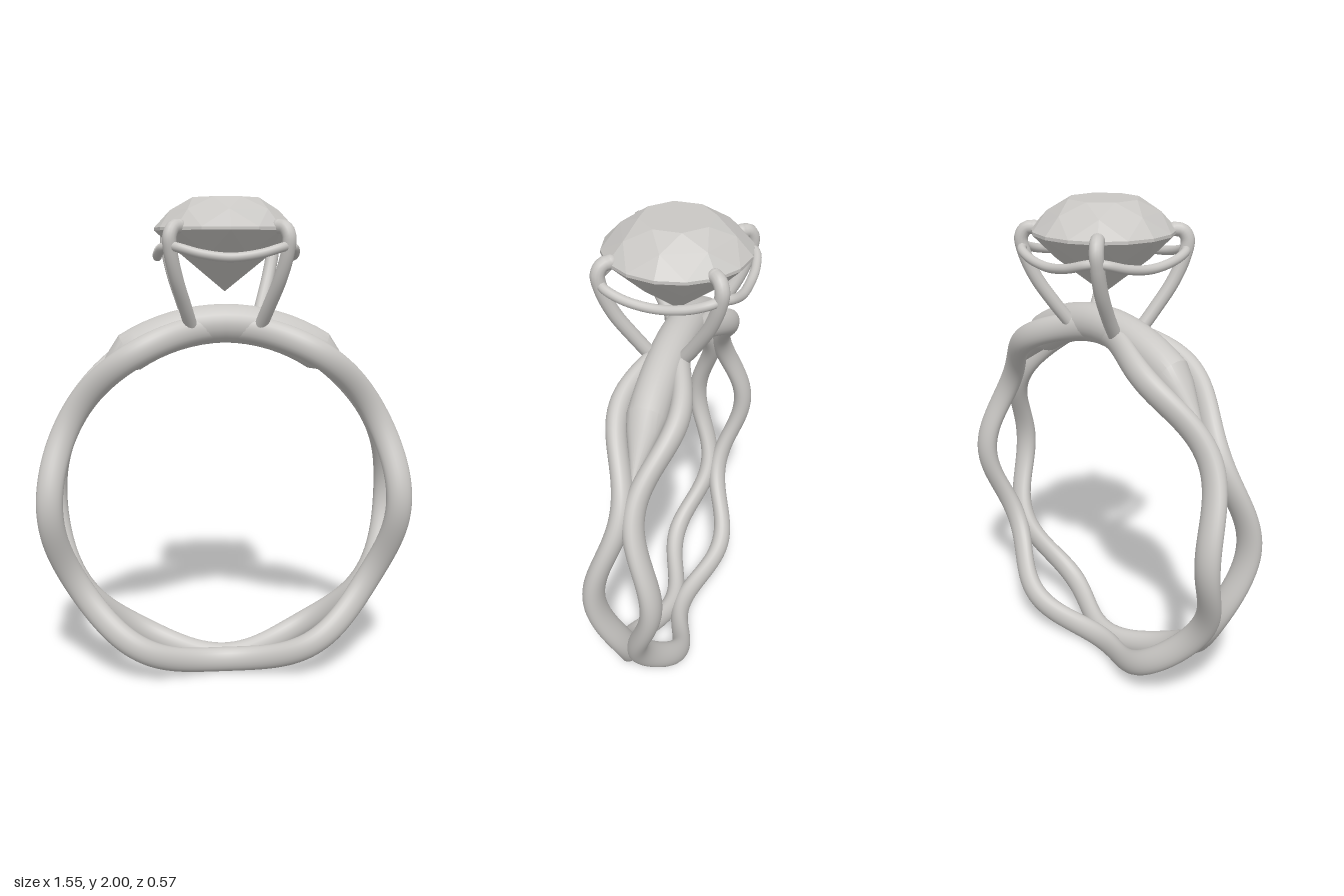
import * as THREE from 'three';
import { toCreasedNormals } from 'three/addons/utils/BufferGeometryUtils.js';
import { ConvexGeometry } from 'three/addons/geometries/ConvexGeometry.js';

const CENTRE_Y = 0.774;
const BAND_R = 0.72;
const TAU = Math.PI * 2;
const rad = THREE.MathUtils.degToRad;

// Sweeps an elliptical section around the finger hole.
// Each station: { t: angle, r: radius, z: offset, a: radial half size, b: z half size }
function sweep(stations, closed, sides = 24) {
  const pos = [], idx = [];
  for (const { t, r, z, a, b } of stations) {
    for (let j = 0; j < sides; j++) {
      const p = (j / sides) * TAU;
      const q = r + a * Math.cos(p);
      pos.push(q * Math.cos(t), CENTRE_Y + q * Math.sin(t), z + b * Math.sin(p));
    }
  }
  const n = stations.length;
  for (let i = 0; i < (closed ? n : n - 1); i++) {
    const i2 = (i + 1) % n;
    for (let j = 0; j < sides; j++) {
      const j2 = (j + 1) % sides;
      const A = i * sides + j, B = i2 * sides + j, C = i2 * sides + j2, D = i * sides + j2;
      idx.push(A, B, C, A, C, D);
    }
  }
  const g = new THREE.BufferGeometry();
  g.setAttribute('position', new THREE.Float32BufferAttribute(pos, 3));
  g.setIndex(idx);
  g.computeVertexNormals();
  return g;
}

// Round wire through a few points
function wire(points, radius) {
  const curve = new THREE.CatmullRomCurve3(points.map((p) => new THREE.Vector3(...p)));
  return new THREE.TubeGeometry(curve, 40, radius, 14);
}

// Points evenly spaced on a horizontal circle
function circle(n, r, y, shift = 0) {
  return Array.from({ length: n }, (_, i) => {
    const t = ((i + shift) / n) * TAU;
    return new THREE.Vector3(r * Math.cos(t), y, r * Math.sin(t));
  });
}

export function createModel() {
  const model = new THREE.Group();
  const metal = new THREE.MeshStandardMaterial({ color: 0xc9c7c4 });
  metal.name = 'pale metal';
  const add = (name, geometry, parent = model) => {
    const mesh = new THREE.Mesh(geometry, metal);
    mesh.name = name;
    parent.add(mesh);
    return mesh;
  };

  // Two wavy strands that meet every sixty degrees
  for (const side of [1, -1]) {
    const stations = [];
    for (let i = 0; i < 180; i++) {
      const t = (i / 180) * TAU;
      stations.push({ t, r: BAND_R, z: side * (0.068 + 0.045 * Math.cos(6 * t)), a: 0.054, b: 0.041 });
    }
    add(side > 0 ? 'frontStrand' : 'backStrand', sweep(stations, true));
  }

  // Raised bridge between the strands, tapering to a point at both ends
  const bridge = [];
  const section = (deg, outer, inner, b) => bridge.push({
    t: rad(90 - deg), r: (outer + inner) / 2, z: 0, a: (outer - inner) / 2, b,
  });
  section(52, 0.722, 0.718, 0.002);
  section(37, 0.782, 0.675, 0.062);
  for (let d = 32; d >= -32; d -= 4) {
    section(d, 0.811, 0.655 - 0.008 * Math.abs(d) / 32, 0.075);
  }
  section(-37, 0.782, 0.675, 0.062);
  section(-52, 0.722, 0.718, 0.002);
  add('bridge', toCreasedNormals(sweep(bridge, false), 0.4));

  // Four prongs that hook over the stone
  const head = new THREE.Group();
  head.name = 'head';
  model.add(head);
  for (const sx of [1, -1]) {
    for (const sz of [1, -1]) {
      const path = [
        [0.14, 1.5, 0.06], [0.165, 1.58, 0.115], [0.2, 1.69, 0.18],
        [0.222, 1.79, 0.217], [0.226, 1.85, 0.226], [0.212, 1.882, 0.212], [0.19, 1.887, 0.19],
      ].map(([x, y, z]) => [sx * x, y, sz * z]);
      add('prong', wire(path, 0.027), head);
      const tip = add('prongTip', new THREE.SphereGeometry(0.027, 16, 12), head);
      tip.position.set(...path[path.length - 1]);
    }
  }

  // Dipping rail wires between neighbouring prongs
  for (let k = 0; k < 4; k++) {
    const rail = add('rail', wire([
      [-0.222, 1.815, 0.222], [-0.19, 1.807, 0.25], [-0.11, 1.785, 0.267], [0, 1.772, 0.269],
      [0.11, 1.785, 0.267], [0.19, 1.807, 0.25], [0.222, 1.815, 0.222],
    ], 0.018), head);
    rail.rotation.y = (k * Math.PI) / 2;
  }

  // Faceted stone: table, crown, girdle, pavilion and point
  add('stone', new ConvexGeometry([
    ...circle(8, 0.14, 2.0, 0.5),
    ...circle(8, 0.217, 1.952),
    ...circle(16, 0.28, 1.885),
    ...circle(16, 0.28, 1.873),
    ...circle(8, 0.19, 1.783, 0.5),
    new THREE.Vector3(0, 1.635, 0),
  ]), head);

  return model;
}
